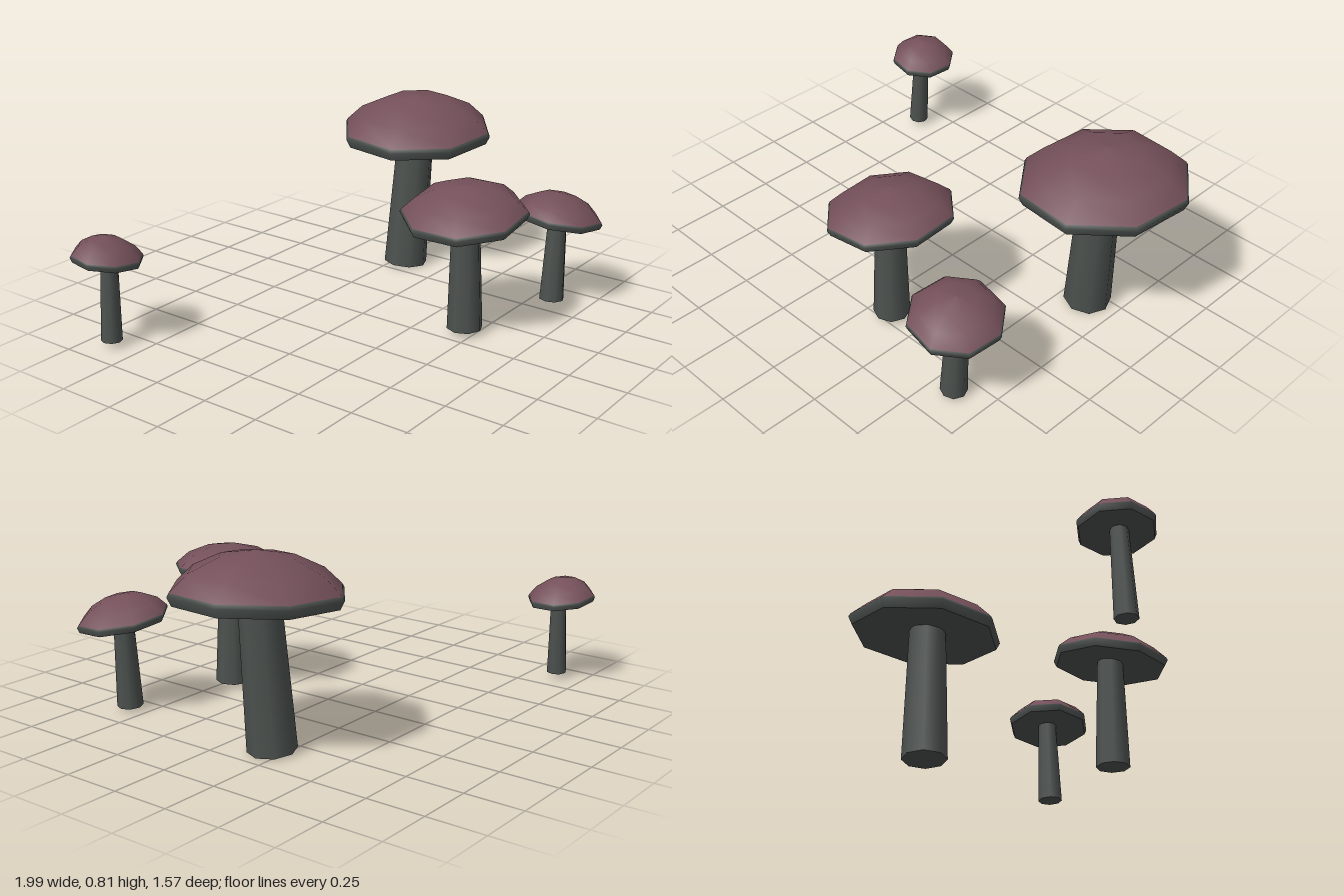
import * as THREE from 'three';

const capSkin = new THREE.MeshStandardMaterial({ color: 0x74505a });
capSkin.name = 'maroon cap skin';
const stemFlesh = new THREE.MeshStandardMaterial({ color: 0x4c524f });
stemFlesh.name = 'grey green flesh';

const SIDES = 8;

// Slant a cap: y gains slopeX * x + slopeZ * z
function slant(geometry, slopeX, slopeZ) {
  return geometry.applyMatrix4(new THREE.Matrix4().set(
    1, 0, 0, 0,
    slopeX, 1, slopeZ, 0,
    0, 0, 1, 0,
    0, 0, 0, 1));
}

function lathe(points, radius, height, turn) {
  const profile = points.map(([r, y]) => new THREE.Vector2(r * radius, y * height));
  return new THREE.LatheGeometry(profile, SIDES, THREE.MathUtils.degToRad(turn));
}

function makeCap({ center, radius, height, turn, slope }) {
  const cap = new THREE.Group();
  cap.name = 'cap';
  cap.position.set(...center);

  // Rounded top with a grey rim band below the coloured skin
  const points = [[0.95, 0], [1, 0.18], [0.975, 0.26], [0.77, 0.6], [0.43, 0.88], [0, 1]];
  const domeGeometry = slant(lathe(points, radius, height, turn), ...slope);
  const perSide = (points.length - 1) * 6, rim = 12;
  for (let i = 0; i < SIDES; i++) {
    domeGeometry.addGroup(i * perSide, rim, 0);
    domeGeometry.addGroup(i * perSide + rim, perSide - rim, 1);
  }
  const dome = new THREE.Mesh(domeGeometry, [stemFlesh, capSkin]);
  dome.name = 'capTop';

  // Shallow hollow underside
  const under = slant(lathe([[0, 0.17], [0.95, 0]], radius, height, turn), ...slope);
  const underside = new THREE.Mesh(under, stemFlesh);
  underside.name = 'capUnderside';

  cap.add(dome, underside);
  return cap;
}

// Tapered, slightly leaning stem between two points
function makeStem({ base, top, baseRadius, topRadius }) {
  const a = new THREE.Vector3(...base), b = new THREE.Vector3(...top);
  const axis = b.clone().sub(a);
  const stem = new THREE.Mesh(
    new THREE.CylinderGeometry(topRadius, baseRadius, axis.length(), SIDES), stemFlesh);
  stem.name = 'stem';
  stem.position.copy(a).add(b).multiplyScalar(0.5);
  stem.quaternion.setFromUnitVectors(new THREE.Vector3(0, 1, 0), axis.normalize());
  return stem;
}

const mushrooms = [
  { name: 'largeMushroom',
    center: [0.66, 0.612, -0.18], radius: 0.35, height: 0.198, turn: 15, slope: [0.06, -0.02],
    base: [0.607, 0.01, -0.197], top: [0.65, 0.66, -0.175], baseRadius: 0.1, topRadius: 0.082 },
  { name: 'mediumMushroom',
    center: [0.095, 0.505, 0.44], radius: 0.266, height: 0.145, turn: 25.5, slope: [0.12, -0.01],
    base: [0.1, 0.026, 0.454], top: [0.1, 0.535, 0.446], baseRadius: 0.076, topRadius: 0.058 },
  { name: 'smallFrontMushroom',
    center: [0.617, 0.384, 0.595], radius: 0.192, height: 0.122, turn: 15, slope: [-0.11, -0.1],
    base: [0.6, 0.018, 0.59], top: [0.62, 0.4, 0.59], baseRadius: 0.055, topRadius: 0.041 },
  { name: 'smallBackMushroom',
    center: [-0.852, 0.366, -0.647], radius: 0.149, height: 0.108, turn: 15, slope: [-0.1, -0.06],
    base: [-0.873, 0.03, -0.63], top: [-0.853, 0.385, -0.635], baseRadius: 0.044, topRadius: 0.034 },
];

export function createModel() {
  const model = new THREE.Group();
  model.name = 'mushroomCluster';
  for (const spec of mushrooms) {
    const mushroom = new THREE.Group();
    mushroom.name = spec.name;
    mushroom.add(makeStem(spec), makeCap(spec));
    model.add(mushroom);
  }
  return model;
}
